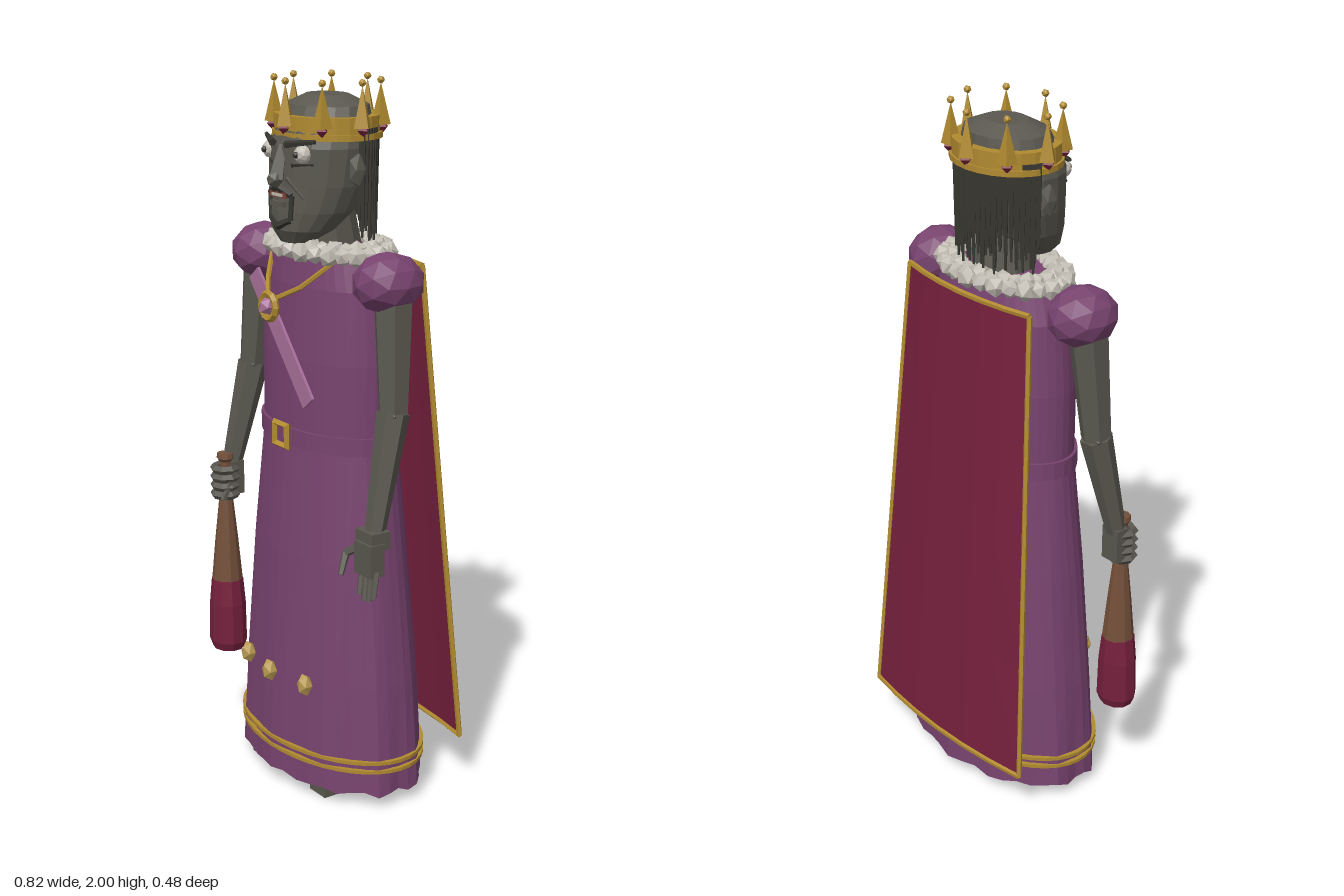
import * as THREE from 'three';

const mat = (name, color, side = THREE.FrontSide) => {
  const m = new THREE.MeshStandardMaterial({ color, side });
  m.name = name;
  return m;
};

export function createModel() {
  const M = {
    skin: mat('greySkin', 0x5a584f),
    hair: mat('darkHair', 0x36352f),
    robe: mat('purpleCloth', 0x78436f, THREE.DoubleSide),
    cape: mat('crimson', 0x75203c, THREE.DoubleSide),
    gold: mat('gold', 0xb08a30),
    pale: mat('paleGold', 0xba9c52),
    white: mat('ivory', 0xc2bdb3),
    wood: mat('wood', 0x74503a),
    pink: mat('pink', 0xa8709a),
    mouth: mat('lipRed', 0x7d443a),
  };
  const root = new THREE.Group();
  root.name = 'monarch';
  const V = (x, y, z) => new THREE.Vector3(x, y, z);

  // Faceted mesh at a position
  const add = (name, geo, material, p = [0, 0, 0], parent = root) => {
    const g = geo.index ? geo.toNonIndexed() : geo;
    g.computeVertexNormals();
    const mesh = new THREE.Mesh(g, material);
    mesh.name = name;
    mesh.position.set(...p);
    parent.add(mesh);
    return mesh;
  };
  const group = (name) => {
    const g = new THREE.Group();
    g.name = name;
    root.add(g);
    return g;
  };

  // Tapered rod between two points
  const rod = (name, a, b, ra, rb, material, sides = 6, parent = root) => {
    const d = b.clone().sub(a);
    const m = add(name, new THREE.CylinderGeometry(rb, ra, d.length(), sides), material,
      a.clone().add(b).multiplyScalar(0.5).toArray(), parent);
    m.quaternion.setFromUnitVectors(V(0, 1, 0), d.normalize());
    return m;
  };

  // Skin over elliptical rings [y, rx, rz, centreZ, ripple], bottom to top
  const loft = (rings, n, capBottom, capTop) => {
    const pos = [], idx = [];
    for (const [y, rx, rz, cz = 0, rip = 0] of rings)
      for (let j = 0; j < n; j++) {
        const t = (j / n) * Math.PI * 2, k = 1 + rip * Math.cos(j * Math.PI * 0.5);
        pos.push(rx * k * Math.sin(t), y + rip * 0.3 * Math.sin(j * 2.1), cz + rz * k * Math.cos(t));
      }
    const top = (rings.length - 1) * n;
    for (let i = 0; i < rings.length - 1; i++)
      for (let j = 0; j < n; j++) {
        const a = i * n + j, b = i * n + (j + 1) % n;
        idx.push(a, b, b + n, a, b + n, a + n);
      }
    for (let j = 1; j < n - 1; j++) {
      if (capBottom) idx.push(0, j + 1, j);
      if (capTop) idx.push(top, top + j, top + j + 1);
    }
    const g = new THREE.BufferGeometry();
    g.setAttribute('position', new THREE.Float32BufferAttribute(pos, 3));
    g.setIndex(idx);
    return g;
  };
  // Closed band with thickness
  const band = (y0, y1, rx, rz, cz, t, n = 32) => loft([
    [y0, rx, rz, cz], [y1, rx, rz, cz], [y1, rx - t, rz - t, cz], [y0, rx - t, rz - t, cz], [y0, rx, rz, cz]], n);

  // Robe with pleated hem, belt and gold hem bands
  add('robe', loft([[0.04, 0.338, 0.208, 0.012, 0.025], [0.14, 0.333, 0.205, 0.012, 0.02],
    [0.35, 0.318, 0.196, 0.012, 0.012], [0.7, 0.283, 0.174, 0.015, 0.006], [1.03, 0.246, 0.148, 0.015],
    [1.25, 0.249, 0.148, 0.015], [1.45, 0.236, 0.138, 0.015], [1.55, 0.2, 0.122, 0.018]], 40, false, true), M.robe);
  add('belt', band(1.005, 1.055, 0.255, 0.157, 0.015, 0.012), M.robe);
  for (const y of [0.112, 0.138]) add('hemBand', band(y - 0.005, y + 0.005, 0.345, 0.214, 0.012, 0.012, 40), M.gold);
  const buckle = add('buckle', new THREE.TorusGeometry(0.042, 0.012, 4, 4), M.gold, [-0.005, 1.03, 0.175]);
  buckle.rotation.z = Math.PI / 4;
  for (const x of [-0.15, -0.005, 0.14])
    add('hemKnob', new THREE.IcosahedronGeometry(0.028, 0), M.pale, [x, 0.34, x < -0.1 || x > 0.1 ? 0.2 : 0.222]).scale.set(0.9, 1.2, 0.8);

  // Feet and shins
  for (const s of [-1, 1]) {
    add('foot', new THREE.BoxGeometry(0.075, 0.045, 0.17), M.skin, [s * 0.15, 0.0225, 0.08]);
    rod('shin', V(s * 0.15, 0.03, 0.03), V(s * 0.13, 0.6, 0.02), 0.03, 0.045, M.skin);
  }

  // Cape curved round the back, with gold edging
  const capeAt = (u, s) => V(u * (0.25 + 0.08 * s), 1.51 - 1.36 * s, -0.14 - 0.095 * s + 0.03 * u * u);
  const capeGeo = new THREE.PlaneGeometry(2, 1, 6, 4), cp = capeGeo.attributes.position;
  for (let i = 0; i < cp.count; i++) {
    const p = capeAt(cp.getX(i), 0.5 - cp.getY(i));
    cp.setXYZ(i, p.x, p.y, p.z);
  }
  add('cape', capeGeo, M.cape);
  const trim = group('capeTrim');
  for (const s of [-1, 1]) rod('sideTrim', capeAt(s, 0), capeAt(s, 1), 0.008, 0.008, M.gold, 5, trim);
  for (const s of [0, 1])
    for (let i = -3; i < 3; i++) rod('edgeTrim', capeAt(i / 3, s), capeAt((i + 1) / 3, s), 0.008, 0.008, M.gold, 5, trim);

  // Sash, chain and medallion
  add('sash', new THREE.BoxGeometry(0.055, 0.41, 0.008), M.pink, [0, 1.305, 0.176]).rotation.z = Math.atan2(0.26, 0.315);
  for (const s of [-1, 1]) {
    rod('chain', V(s * 0.15, 1.53, 0.1), V(s * 0.08, 1.455, 0.165), 0.007, 0.007, M.gold, 5);
    rod('chain', V(s * 0.08, 1.455, 0.165), V(s * 0.02, 1.42, 0.205), 0.007, 0.007, M.gold, 5);
  }
  add('medallion', new THREE.TorusGeometry(0.034, 0.011, 5, 12), M.gold, [-0.005, 1.395, 0.212]);
  add('medallionGem', new THREE.IcosahedronGeometry(0.026, 0), M.pink, [-0.005, 1.395, 0.216]);

  // Puffed shoulders and arms
  for (const s of [-1, 1]) {
    add('puffSleeve', new THREE.IcosahedronGeometry(0.09, 1), M.robe, [s * 0.293, 1.487, 0.035]).scale.set(1, 0.92, 1.12);
    const elbow = V(s * 0.34, 1.15, 0.05), wrist = V(s * 0.358, 0.84, 0.12);
    rod('upperArm', V(s * 0.315, 1.45, 0.035), elbow, 0.055, 0.042, M.skin);
    add('elbow', new THREE.IcosahedronGeometry(0.043, 0), M.skin, elbow.toArray());
    rod('forearm', elbow, wrist, 0.045, 0.028, M.skin);
  }

  // Open left hand
  const hand = group('leftHand');
  add('cuff', new THREE.BoxGeometry(0.075, 0.05, 0.06), M.skin, [0.355, 0.82, 0.125], hand);
  add('palm', new THREE.BoxGeometry(0.075, 0.09, 0.045), M.skin, [0.36, 0.77, 0.14], hand);
  for (let i = 0; i < 4; i++)
    rod('finger', V(0.332 + i * 0.02, 0.74, 0.14), V(0.34 + i * 0.021, 0.65 + Math.abs(i - 1.3) * 0.012, 0.158), 0.011, 0.008, M.skin, 5, hand);
  rod('thumb', V(0.335, 0.8, 0.14), V(0.288, 0.77, 0.165), 0.013, 0.012, M.skin, 5, hand);
  rod('thumb', V(0.288, 0.77, 0.165), V(0.3, 0.715, 0.19), 0.012, 0.008, M.skin, 5, hand);

  // Right hand closed round the club
  const grip = group('rightHand');
  add('palm', new THREE.BoxGeometry(0.06, 0.1, 0.04), M.skin, [-0.358, 0.81, 0.115], grip);
  for (let i = 0; i < 4; i++)
    add('finger', new THREE.TorusGeometry(0.032, 0.013, 5, 8), M.skin, [-0.357, 0.76 + i * 0.026, 0.143], grip).rotation.x = Math.PI / 2;
  rod('thumb', V(-0.33, 0.83, 0.13), V(-0.325, 0.75, 0.17), 0.012, 0.009, M.skin, 5, grip);
  const club = group('club');
  club.position.set(-0.354, 0, 0.143);
  add('clubHandle', loft([[0.49, 0.046, 0.046], [0.62, 0.034, 0.034], [0.76, 0.019, 0.019], [0.86, 0.018, 0.018], [0.87, 0.026, 0.026], [0.885, 0.024, 0.024]], 10, true, true), M.wood, [0, 0, 0], club);
  add('clubHead', loft([[0.275, 0.05, 0.045], [0.3, 0.06, 0.054], [0.42, 0.057, 0.052], [0.495, 0.047, 0.047]], 10, true, true), M.cape, [0, 0, 0], club);

  // Ruffled collar in two staggered rows
  const ruff = group('ruff');
  for (let row = 0; row < 2; row++)
    for (let i = 0; i < 26; i++) {
      const t = (i + row / 2) / 26 * Math.PI * 2, r = 1 - row * 0.18;
      const knob = add('ruffFold', new THREE.IcosahedronGeometry(0.031, 0), M.white,
        [0.205 * r * Math.sin(t), 1.542 + row * 0.008, 0.018 + 0.127 * r * Math.cos(t)], ruff);
      knob.rotation.set(i * 1.3, t, i * 0.7);
      knob.scale.setScalar(i % 2 ? 1 : 0.85);
    }

  // Head and neck
  rod('neck', V(0, 1.5, 0.01), V(0, 1.68, 0.035), 0.09, 0.075, M.skin, 10);
  add('head', loft([[1.565, 0.05, 0.04, 0.125], [1.6, 0.095, 0.085, 0.1], [1.65, 0.127, 0.11, 0.073],
    [1.72, 0.148, 0.124, 0.053], [1.82, 0.158, 0.132, 0.043], [1.87, 0.148, 0.122, 0.033],
    [1.925, 0.127, 0.102, 0.022], [1.95, 0.066, 0.054, 0.022]], 18, true, true), M.skin);

  // Face
  const face = group('face');
  rod('noseBridge', V(0, 1.735, 0.185), V(0, 1.825, 0.165), 0.026, 0.013, M.skin, 4, face);
  add('noseTip', new THREE.IcosahedronGeometry(0.024, 0), M.skin, [0, 1.735, 0.192], face);
  add('mouth', new THREE.BoxGeometry(0.075, 0.016, 0.02), M.mouth, [0, 1.695, 0.175], face);
  add('teeth', new THREE.BoxGeometry(0.05, 0.008, 0.008), M.white, [0, 1.694, 0.183], face);
  for (const s of [-1, 1]) {
    add('eye', new THREE.IcosahedronGeometry(0.026, 1), M.white, [s * 0.075, 1.805, 0.152], face);
    add('pupil', new THREE.IcosahedronGeometry(0.01, 0), M.hair, [s * 0.075, 1.805, 0.175], face);
    rod('brow', V(s * 0.03, 1.828, 0.178), V(s * 0.115, 1.84, 0.142), 0.011, 0.006, M.hair, 5, face);
    rod('eyeBag', V(s * 0.045, 1.775, 0.168), V(s * 0.105, 1.78, 0.14), 0.007, 0.004, M.hair, 4, face);
    rod('cheekFold', V(s * 0.03, 1.74, 0.175), V(s * 0.08, 1.69, 0.155), 0.007, 0.005, M.skin, 4, face);
    rod('moustache', V(0, 1.715, 0.182), V(s * 0.05, 1.695, 0.172), 0.012, 0.009, M.hair, 5, face);
    rod('beardSide', V(s * 0.05, 1.695, 0.172), V(s * 0.045, 1.63, 0.172), 0.009, 0.01, M.hair, 5, face);
    rod('beardBase', V(s * 0.045, 1.63, 0.172), V(0, 1.61, 0.183), 0.01, 0.013, M.hair, 5, face);
    add('ear', new THREE.IcosahedronGeometry(0.045, 0), M.skin, [s * 0.155, 1.765, 0.035], face).scale.set(0.4, 1.1, 0.65);
  }
  add('lowerLip', new THREE.BoxGeometry(0.06, 0.014, 0.02), M.skin, [0, 1.67, 0.178], face);

  // Hair strands hanging round the back of the head
  const hair = group('hair');
  for (let row = 0; row < 2; row++)
    for (let i = 0; i <= 26; i++) {
      const t = Math.PI / 2 * 1.05 + (i / 26) * Math.PI * 0.9, r = 1 - row * 0.1;
      const x = 0.157 * r * Math.sin(t), z = 0.03 + 0.122 * r * Math.cos(t);
      rod('strand', V(x, 1.87, z), V(x * 1.02, 1.6 + 0.035 * Math.sin(i * 2.7 + row), z), 0.013, 0.004, M.hair, 4, hair);
    }

  // Crown with eight tipped points and gems
  const crown = group('crown');
  add('crownBand', band(1.845, 1.9, 0.16, 0.134, 0.024, 0.032, 24), M.gold, [0, 0, 0], crown);
  add('crownRim', band(1.84, 1.856, 0.167, 0.14, 0.024, 0.02, 24), M.gold, [0, 0, 0], crown);
  for (let i = 0; i < 8; i++) {
    const t = i * Math.PI / 4, x = 0.16 * Math.sin(t), z = 0.024 + 0.133 * Math.cos(t);
    add('crownPoint', new THREE.ConeGeometry(0.027, 0.11, 4), M.gold, [x, 1.928, z], crown).rotation.y = t;
    add('crownTip', new THREE.IcosahedronGeometry(0.011, 0), M.gold, [x, 1.989, z], crown);
    add('crownGem', new THREE.OctahedronGeometry(0.019), M.cape, [x * 1.03, 1.867, 0.024 + (z - 0.024) * 1.03], crown);
  }
  return root;
}
